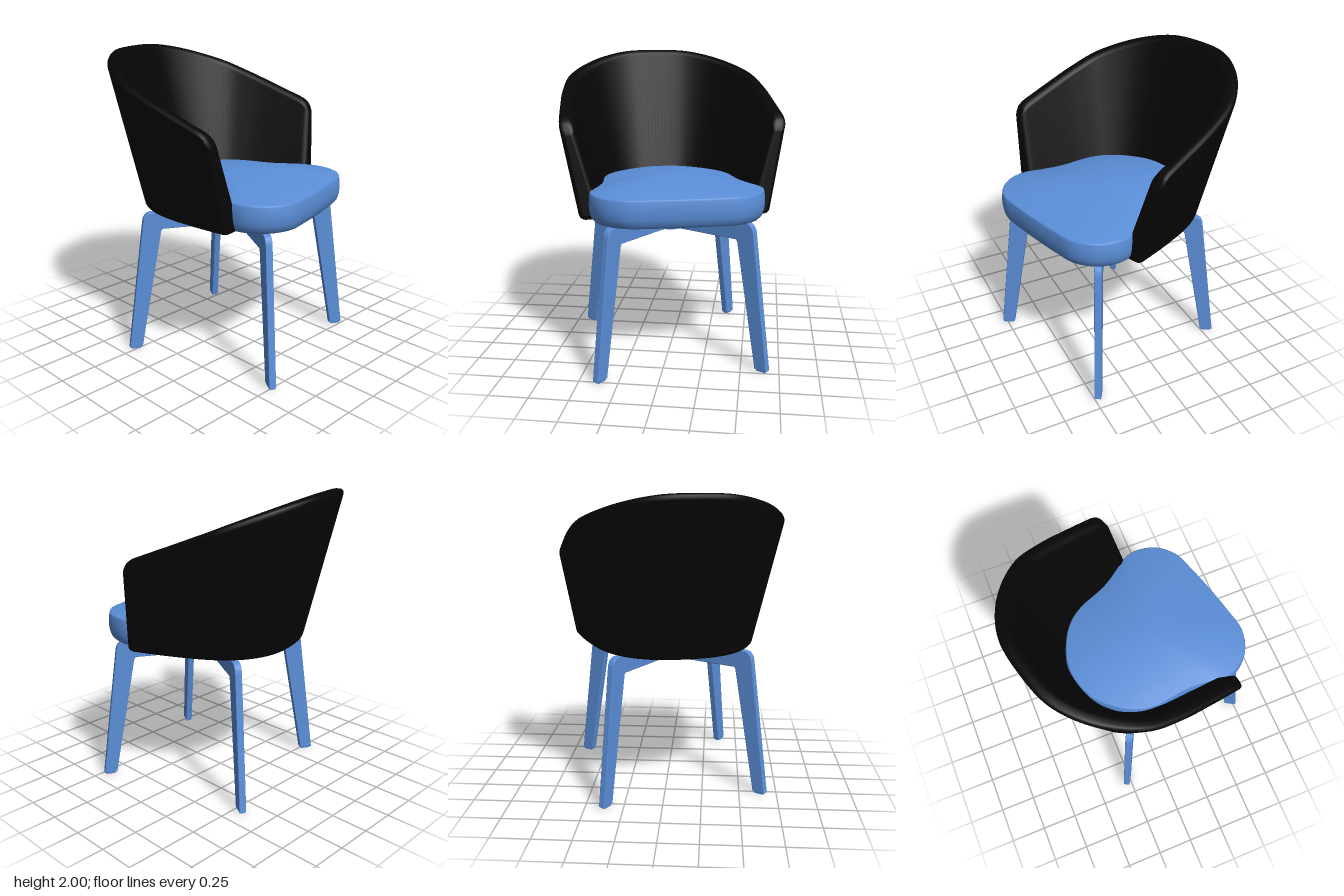
import * as THREE from 'three';

const BLUE = new THREE.MeshStandardMaterial({ color: 0x5b8fd9 });
const BLACK = new THREE.MeshStandardMaterial({ color: 0x060606 });
const { lerp } = THREE.MathUtils;

function mesh(name, geometry, material) {
  const m = new THREE.Mesh(geometry, material);
  m.name = name;
  return m;
}

// Skin a series of closed rings, with optional caps on the first and last ring
function loft(rings, capStart, capEnd) {
  const n = rings[0].length, last = rings.length - 1;
  const pts = rings.flat(), index = [];
  for (let r = 0; r < last; r++) {
    for (let i = 0; i < n; i++) {
      const a = r * n + i, b = r * n + (i + 1) % n;
      index.push(a, b, a + n, b, b + n, a + n);
    }
  }
  const cap = (r, flip) => {
    const base = pts.length;
    const centre = new THREE.Vector3();
    rings[r].forEach((p) => { pts.push(p); centre.addScaledVector(p, 1 / n); });
    pts.push(centre);
    for (let i = 0; i < n; i++) {
      const a = base + i, b = base + (i + 1) % n;
      index.push(base + n, flip ? b : a, flip ? a : b);
    }
  };
  if (capStart) cap(0, true);
  if (capEnd) cap(last, false);
  const g = new THREE.BufferGeometry().setFromPoints(pts);
  g.setIndex(index);
  g.computeVertexNormals();
  return g;
}

// Mirror a half outline given from the centre line outwards (first point on x = 0)
function mirrored(half) {
  const left = half.slice(1).reverse().map(([x, z]) => [-x, z]);
  return [...left, ...half].map(([x, z]) => new THREE.Vector3(x, 0, z));
}

// Wraparound backrest: outline at the foot and at the rim, rounded thick section
function backrest() {
  const foot = new THREE.CatmullRomCurve3(mirrored([
    [0, -0.625], [0.2, -0.6], [0.36, -0.51], [0.47, -0.37], [0.53, -0.22], [0.58, 0], [0.62, 0.265]]));
  const rim = new THREE.CatmullRomCurve3(mirrored([
    [0, -0.865], [0.25, -0.837], [0.48, -0.7], [0.655, -0.475], [0.705, -0.27], [0.726, -0.02], [0.737, 0.2]]));
  const y0 = 0.977, R = 0.035, endT = 0.014;

  const section = (t, inset) => {
    const b = foot.getPoint(t), p = rim.getPoint(t);
    const dir = foot.getTangent(t).add(rim.getTangent(t)).normalize();
    const inward = new THREE.Vector3(-dir.z, 0, dir.x);
    const full = 1.67 - 0.385 * p.z;
    const endness = Math.max(0, (Math.abs(t - 0.5) * 2 - 0.93) / 0.07);
    const top = full - 0.045 * endness ** 3; // arm corners dip slightly
    const ring = [];
    const arc = (inner, y, from) => {
      for (let k = 0; k <= 4; k++) {
        const a = from - k * Math.PI / 8;
        const py = y + (R - inset) * Math.sin(a);
        const f = (py - y0) / (full - y0);
        const w = (inner ? lerp(0.15, 0.09, f) - R : R) + (R - inset) * Math.cos(a);
        const q = b.clone().lerp(p, f).addScaledVector(inward, w);
        q.y = py;
        ring.push(q);
      }
    };
    arc(false, y0 + R, Math.PI * 1.5);
    arc(false, top - R, Math.PI);
    arc(true, top - R, Math.PI / 2);
    arc(true, y0 + R, 0);
    return ring;
  };

  const rings = [];
  const roundEnd = (k) => {
    const a = k / 5 * Math.PI / 2;
    return [endT * (1 - Math.sin(a)), (R - 0.003) * (1 - Math.cos(a))];
  };
  for (let k = 5; k > 0; k--) { const [t, e] = roundEnd(k); rings.push(section(t, e)); }
  for (let i = 0; i <= 96; i++) rings.push(section(lerp(endT, 1 - endT, i / 96), 0));
  for (let k = 1; k <= 5; k++) { const [t, e] = roundEnd(k); rings.push(section(1 - t, e)); }
  return mesh('backrest', loft(rings, true, true), BLACK);
}

// Seat cushion: bulging side wall and a domed top sharing one outline
function seat() {
  const half = [[0, 0.6], [0.2, 0.595], [0.36, 0.58], [0.49, 0.495], [0.555, 0.36], [0.55, 0.25],
    [0.515, 0.17], [0.465, 0.02], [0.435, -0.2], [0.39, -0.31], [0.31, -0.405], [0.15, -0.51], [0, -0.535]];
  const back = half.slice(1, -1).reverse().map(([x, z]) => [-x, z]);
  const curve = new THREE.CatmullRomCurve3(
    [...half, ...back].map(([x, z]) => new THREE.Vector3(x, 0, z)), true);
  const outline = curve.getPoints(96).slice(0, -1);
  const ring = (s, y) => outline.map((p) => new THREE.Vector3(p.x * s, y, 0.03 + (p.z - 0.03) * s));

  const wall = [[0.9, 0.985], [0.945, 0.992], [0.975, 1.012], [0.992, 1.045], [1, 1.085],
    [0.998, 1.125], [0.99, 1.16], [0.984, 1.17], [0.975, 1.172]];
  const dome = [];
  for (let k = 0; k <= 12; k++) {
    const s = 0.978 * Math.cos(k / 12 * 1.54);
    dome.push(ring(s, 1.17 + 0.066 * (1 - (s / 0.978) ** 2)));
  }
  const g = new THREE.Group();
  g.name = 'seat';
  g.add(mesh('seatSide', loft(wall.map(([s, y]) => ring(s, y)), true, false), BLUE));
  g.add(mesh('seatTop', loft(dome, false, true), BLUE));
  return g;
}

// One bent leg: horizontal arm from the hub and a splayed, tapering leg
function leg(angle) {
  const s = new THREE.Shape();
  s.moveTo(0, 0.86);
  s.lineTo(0.525, 0.86);
  s.quadraticCurveTo(0.545, 0.86, 0.549, 0.835);
  s.lineTo(0.698, 0.015);
  s.lineTo(0.776, 0.015);
  s.lineTo(0.657, 0.915);
  s.quadraticCurveTo(0.647, 0.97, 0.6, 0.97);
  s.lineTo(0, 0.97);
  const width = 0.036, bevel = 0.005;
  const geo = new THREE.ExtrudeGeometry(s, {
    depth: width, bevelEnabled: true, bevelSize: bevel, bevelThickness: bevel, bevelSegments: 2, curveSegments: 6,
  });
  geo.translate(0, 0, -width / 2);
  const pad = new THREE.BoxGeometry(0.065, 0.014, 0.034).translate(0.738, 0.007, 0);
  const g = new THREE.Group();
  g.name = 'leg';
  g.add(mesh('legFrame', geo, BLUE), mesh('footPad', pad, BLUE));
  g.rotation.y = angle;
  return g;
}

export function createModel() {
  const chair = new THREE.Group();
  chair.name = 'swivelArmchair';
  chair.add(backrest(), seat());

  // Four legs around a central swivel hub
  for (let i = 0; i < 4; i++) chair.add(leg(Math.PI / 4 + i * Math.PI / 2));
  const disc = (name, r, y, h) =>
    chair.add(mesh(name, new THREE.CylinderGeometry(r, r, h, 32).translate(0, y, 0), BLUE));
  disc('hubColumn', 0.035, 0.92, 0.14);
  disc('hubBase', 0.08, 0.856, 0.012);
  disc('swivelPlate', 0.145, 0.984, 0.012);

  // The whole chair is turned slightly to its left
  chair.rotation.y = 0.265;
  chair.position.z = 0.096;
  const model = new THREE.Group();
  model.name = 'model';
  model.add(chair);
  return model;
}
